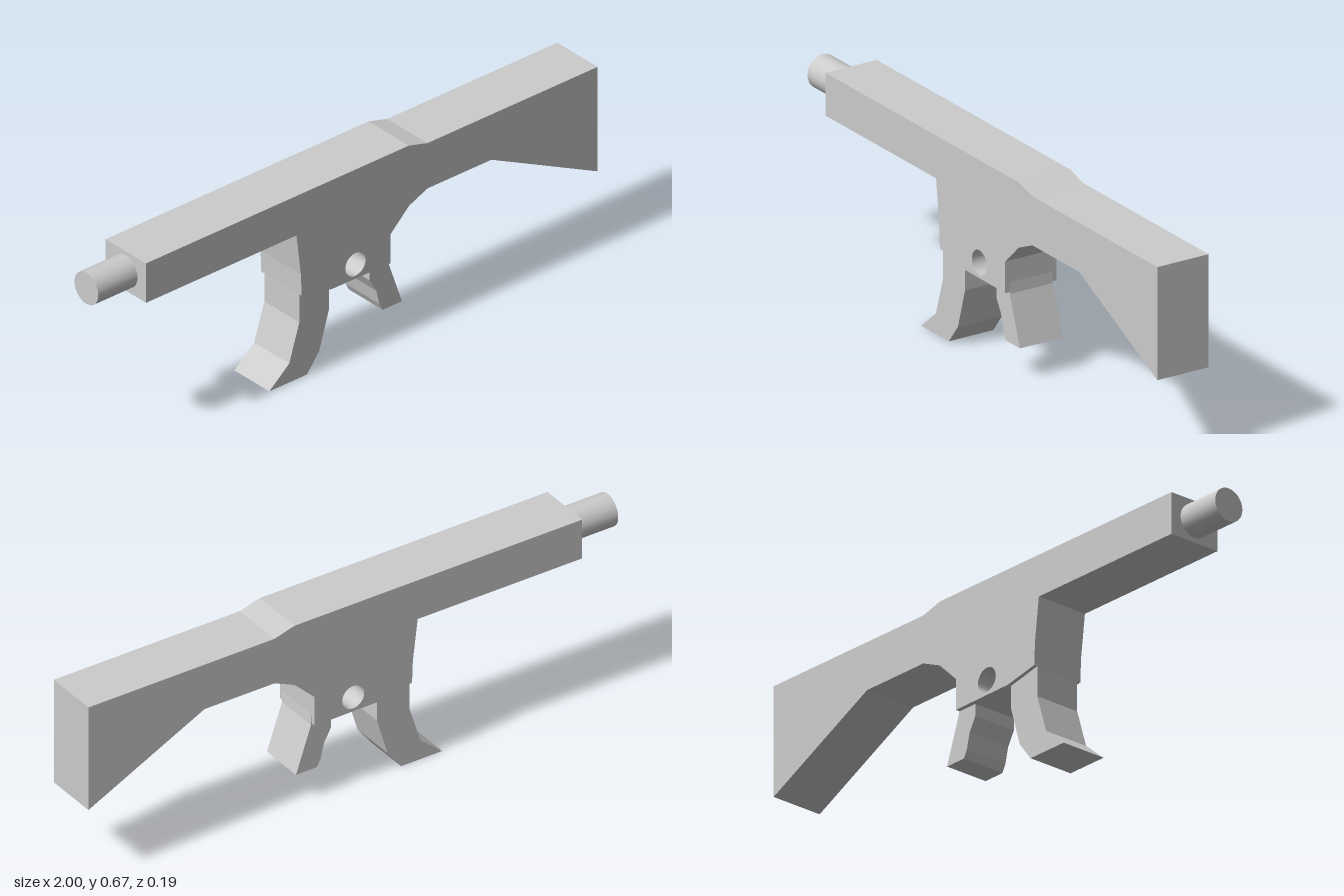
import * as THREE from 'three';

const material = new THREE.MeshStandardMaterial({ color: 0xcccccc });

// Side profile (x, y) extruded between two z planes, with optional round hole
function slab(name, points, zBack, zFront, hole) {
  const shape = new THREE.Shape(points.map(([x, y]) => new THREE.Vector2(x, y)));
  if (hole) {
    const path = new THREE.Path();
    path.absarc(hole.x, hole.y, hole.r, 0, Math.PI * 2, true);
    shape.holes.push(path);
  }
  const geometry = new THREE.ExtrudeGeometry(shape, {
    depth: zFront - zBack, bevelEnabled: false, curveSegments: 16,
  });
  geometry.translate(0, 0, zBack);
  const mesh = new THREE.Mesh(geometry, material);
  mesh.name = name;
  return mesh;
}

export function createModel() {
  const model = new THREE.Group();
  model.name = 'rifle';

  // Receiver, handguard and stock in one piece, pierced at the trigger
  const hole = { x: 0.012, y: 0.328, r: 0.041 };
  model.add(slab('bodyAndStock', [
    [-0.84, 0.527], [-0.228, 0.527], [-0.21, 0.38], [-0.207, 0.302],
    [-0.085, 0.277], [0.155, 0.275], [0.155, 0.38], [0.23, 0.452],
    [0.305, 0.485], [0.565, 0.485], [0.997, 0.272], [0.997, 0.648],
    [0.305, 0.648], [0.23, 0.669], [-0.84, 0.669],
  ], -0.094, 0.096, hole));

  // Curved magazine
  model.add(slab('magazine', [
    [-0.206, 0.31], [-0.206, 0.2], [-0.247, 0.068], [-0.328, 0],
    [-0.175, 0], [-0.125, 0.065], [-0.085, 0.2], [-0.085, 0.29],
  ], -0.081, 0.084));

  // Raked pistol grip, rooted inside the body
  model.add(slab('pistolGrip', [
    [0.083, 0.37], [0.083, 0.235], [0.11, 0.187], [0.122, 0.135], [0.136, 0.108],
    [0.214, 0.108], [0.158, 0.27], [0.15, 0.37],
  ], -0.078, 0.081));

  // Thin bent trigger inside the hole
  model.add(slab('trigger', [
    [0.005, 0.375], [0.016, 0.335], [0.01, 0.3], [0.016, 0.3],
    [0.023, 0.335], [0.012, 0.375],
  ], -0.03, 0.03));

  // Round barrel, running a little way into the body
  const barrel = new THREE.Mesh(
    new THREE.CylinderGeometry(0.056, 0.056, 0.22, 32).rotateZ(Math.PI / 2), material);
  barrel.position.set(-0.89, 0.599, 0);
  barrel.name = 'barrel';
  model.add(barrel);

  return model;
}
